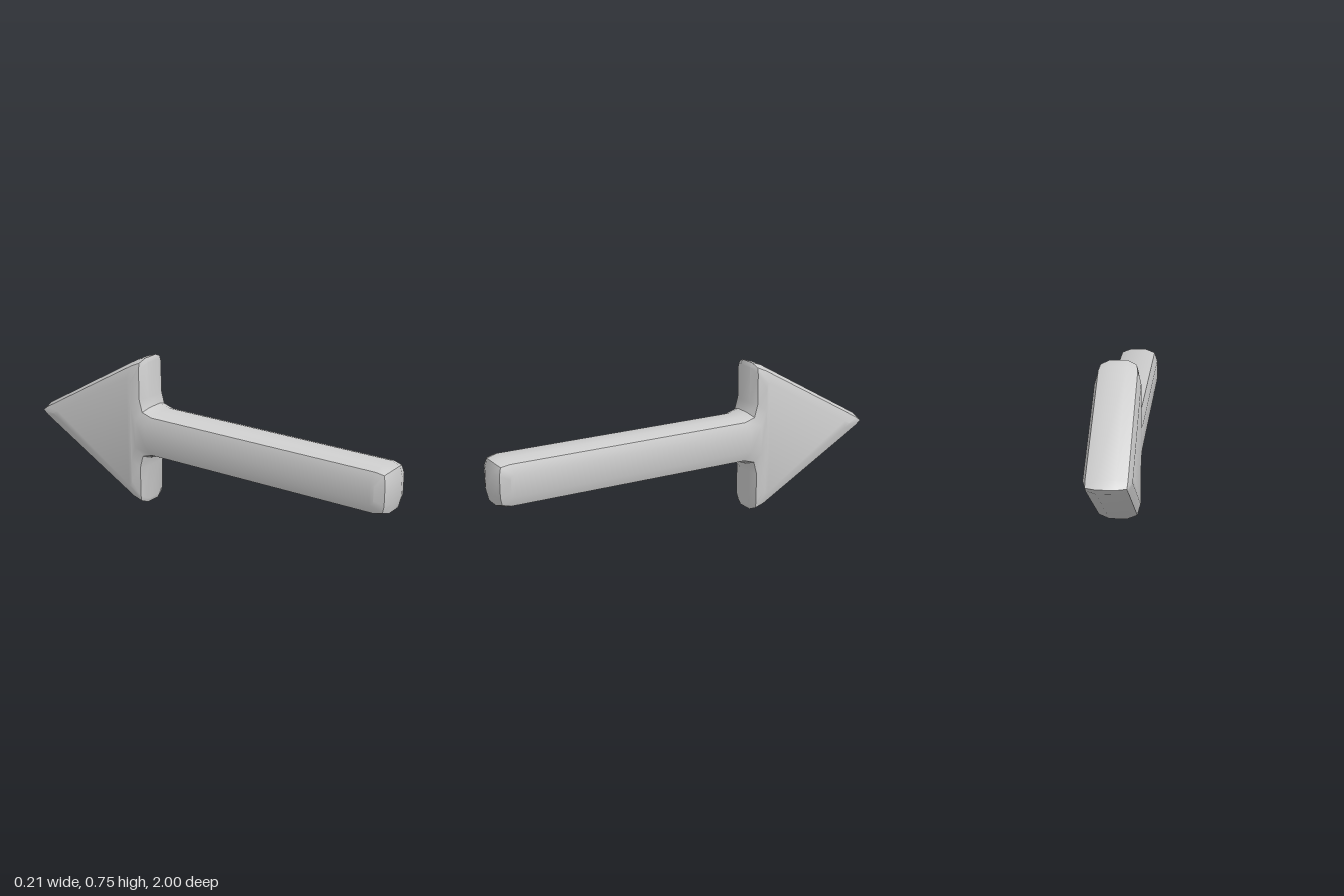
import * as THREE from 'three';
import { toCreasedNormals } from 'three/addons/utils/BufferGeometryUtils.js';

// Upper half outlines [z, height above the axis, x], from shaft end to arrow tip.
const rim = [
  [1, 0.05, 0.04], [0.988, 0.098, 0.04], [0.94, 0.113, 0.04],
  [-0.27, 0.113, 0.04], [-0.32, 0.13, 0.04], [-0.335, 0.175, 0.04],
  [-0.335, 0.352, 0.04], [-0.345, 0.373, 0.04], [-0.395, 0.357, 0.04],
  [-0.97, 0.03, 0.04], [-1, 0, 0.04],
];
const bevel = [
  [0.985, 0.05, 0.088], [0.975, 0.087, 0.08], [0.935, 0.096, 0.087],
  [-0.28, 0.096, 0.088], [-0.334, 0.113, 0.088], [-0.351, 0.175, 0.088],
  [-0.351, 0.325, 0.088], [-0.353, 0.355, 0.08], [-0.395, 0.337, 0.087],
  [-0.955, 0.02, 0.087], [-0.982, 0, 0.085],
];
const face = [
  [0.94, 0.03, 0.103], [0.938, 0.046, 0.103], [0.92, 0.052, 0.103],
  [-0.31, 0.052, 0.103], [-0.367, 0.07, 0.103], [-0.393, 0.14, 0.103],
  [-0.395, 0.25, 0.103], [-0.398, 0.28, 0.103], [-0.413, 0.276, 0.103],
  [-0.87, 0.018, 0.103], [-0.9, 0, 0.103],
];

// Closed outline: upper half, tip, then the mirrored lower half.
function ring(half, side) {
  const upper = half.map(([z, h, x]) => [side * x, h, z]);
  const lower = upper.slice(0, -1).reverse().map(([x, h, z]) => [x, -h, z]);
  return [...upper, ...lower];
}

function arrowGeometry() {
  const rings = [
    ring(face, -1), ring(bevel, -1), ring(rim, -1),
    ring(rim, 1), ring(bevel, 1), ring(face, 1),
  ];
  const n = rings[0].length;
  const index = [];

  // Rounded edge running around the arrow
  for (let k = 0; k < rings.length - 1; k++) {
    for (let i = 0; i < n; i++) {
      const j = (i + 1) % n;
      const a = k * n + i, b = k * n + j, c = b + n, d = a + n;
      index.push(a, d, c, a, c, b);
    }
  }

  // Flat sides, in strips between the upper and lower halves
  const last = (rings.length - 1) * n;
  for (let i = 0; i < (n - 1) / 2; i++) {
    const a = i, b = i + 1, c = n - 2 - i, d = n - 1 - i;
    index.push(a, b, d, last + a, last + d, last + b);
    if (b !== c) index.push(b, c, d, last + b, last + d, last + c);
  }

  const geometry = new THREE.BufferGeometry();
  geometry.setAttribute('position', new THREE.Float32BufferAttribute(rings.flat(2), 3));
  geometry.setIndex(index);
  return toCreasedNormals(geometry, 0.55);
}

export function createModel() {
  const group = new THREE.Group();
  group.name = 'arrow';
  const arrow = new THREE.Mesh(
    arrowGeometry(),
    new THREE.MeshStandardMaterial({ color: 0xcccccc }),
  );
  arrow.name = 'arrowBody';
  arrow.position.y = 0.373;
  group.add(arrow);
  return group;
}
